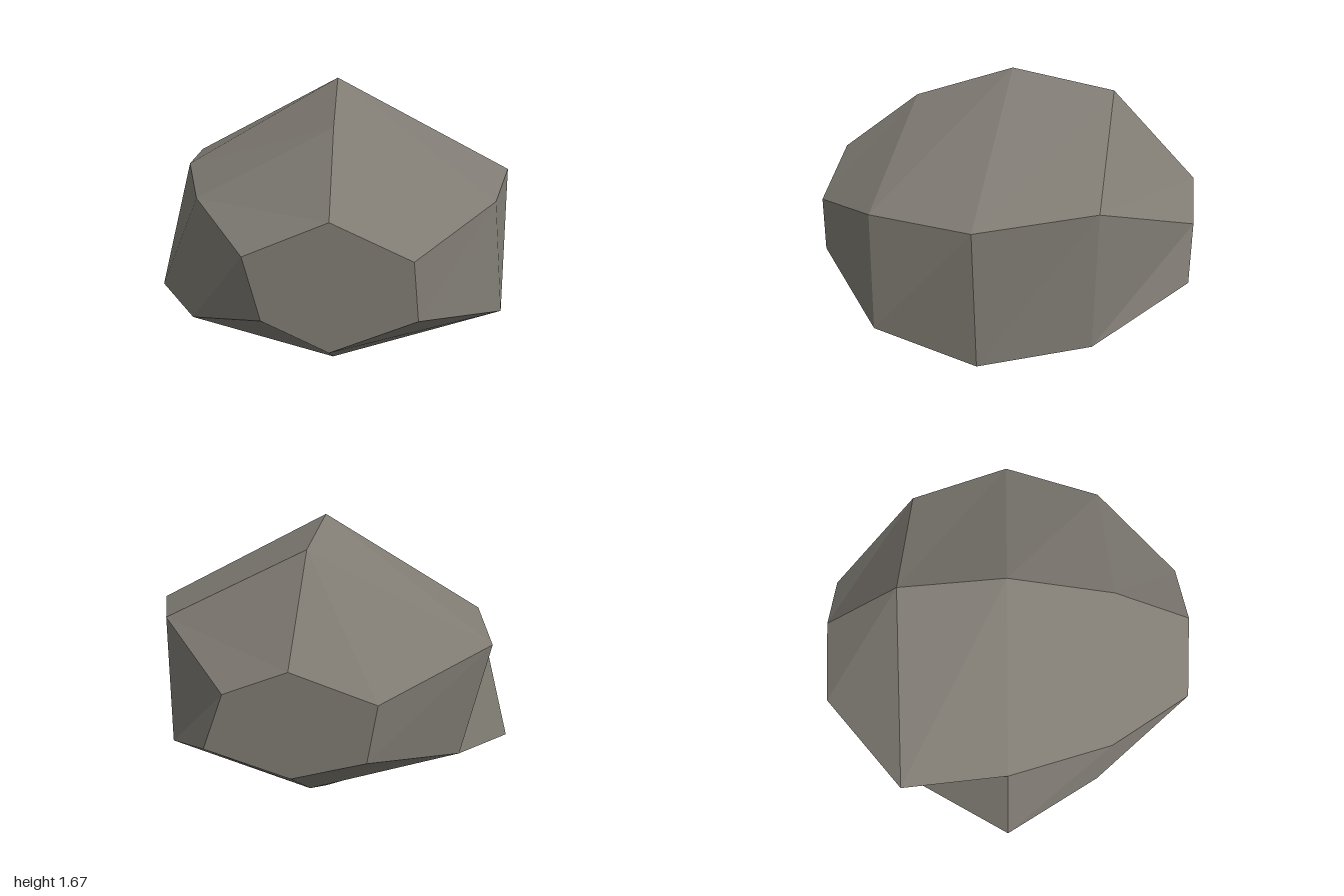
import * as THREE from 'three';

// Hexagonal cross-sections from front to back. Corners run clockwise seen from
// the front: top, upper left, lower left, bottom, lower right, upper right.
const SECTIONS = [
  { z: 0.975, ring: [[0.05, 1.175], [0.42, 1.0], [0.45, 0.715], [0.05, 0.545], [-0.26, 0.7], [-0.335, 1.01]] },
  { z: 0.53, ring: [[0.05, 1.5], [0.84, 1.145], [0.91, 0.56], [0.05, 0.27], [-0.69, 0.485], [-0.63, 1.14]] },
  { z: 0, ring: [[0.05, 1.67], [1.0, 1.175], [0.975, 0.455], [0.05, 0], [-1.0, 0.435], [-0.79, 1.185]] },
  { z: -0.53, ring: [[0.05, 1.575], [0.78, 1.21], [0.8, 0.515], [0.05, 0.29], [-0.72, 0.565], [-0.84, 1.15]] },
  { z: -0.975, ring: [[0.05, 1.125], [0.355, 1.0], [0.46, 0.72], [0.05, 0.6], [-0.3, 0.71], [-0.345, 0.995]] },
];

function loftSections(sections) {
  const sides = sections[0].ring.length;
  const positions = sections.flatMap(({ z, ring }) => ring.flatMap(([x, y]) => [x, y, z]));
  const index = [];
  // Skin between neighbouring sections
  for (let s = 0; s < sections.length - 1; s++) {
    for (let j = 0; j < sides; j++) {
      const k = (j + 1) % sides;
      const front = s * sides;
      const back = front + sides;
      index.push(front + j, front + k, back + j, front + k, back + k, back + j);
    }
  }
  // Flat end facets
  const last = (sections.length - 1) * sides;
  for (let j = 1; j < sides - 1; j++) {
    index.push(0, j + 1, j, last, last + j, last + j + 1);
  }
  const indexed = new THREE.BufferGeometry();
  indexed.setAttribute('position', new THREE.Float32BufferAttribute(positions, 3));
  indexed.setIndex(index);
  const geometry = indexed.toNonIndexed();
  geometry.computeVertexNormals();
  return geometry;
}

export function createModel() {
  const stone = new THREE.MeshStandardMaterial({ color: 0x7f7b73 });
  stone.name = 'warm grey stone';
  stone.flatShading = true;

  const boulder = new THREE.Mesh(loftSections(SECTIONS), stone);
  boulder.name = 'boulder';

  const model = new THREE.Group();
  model.name = 'rock';
  model.add(boulder);
  return model;
}
